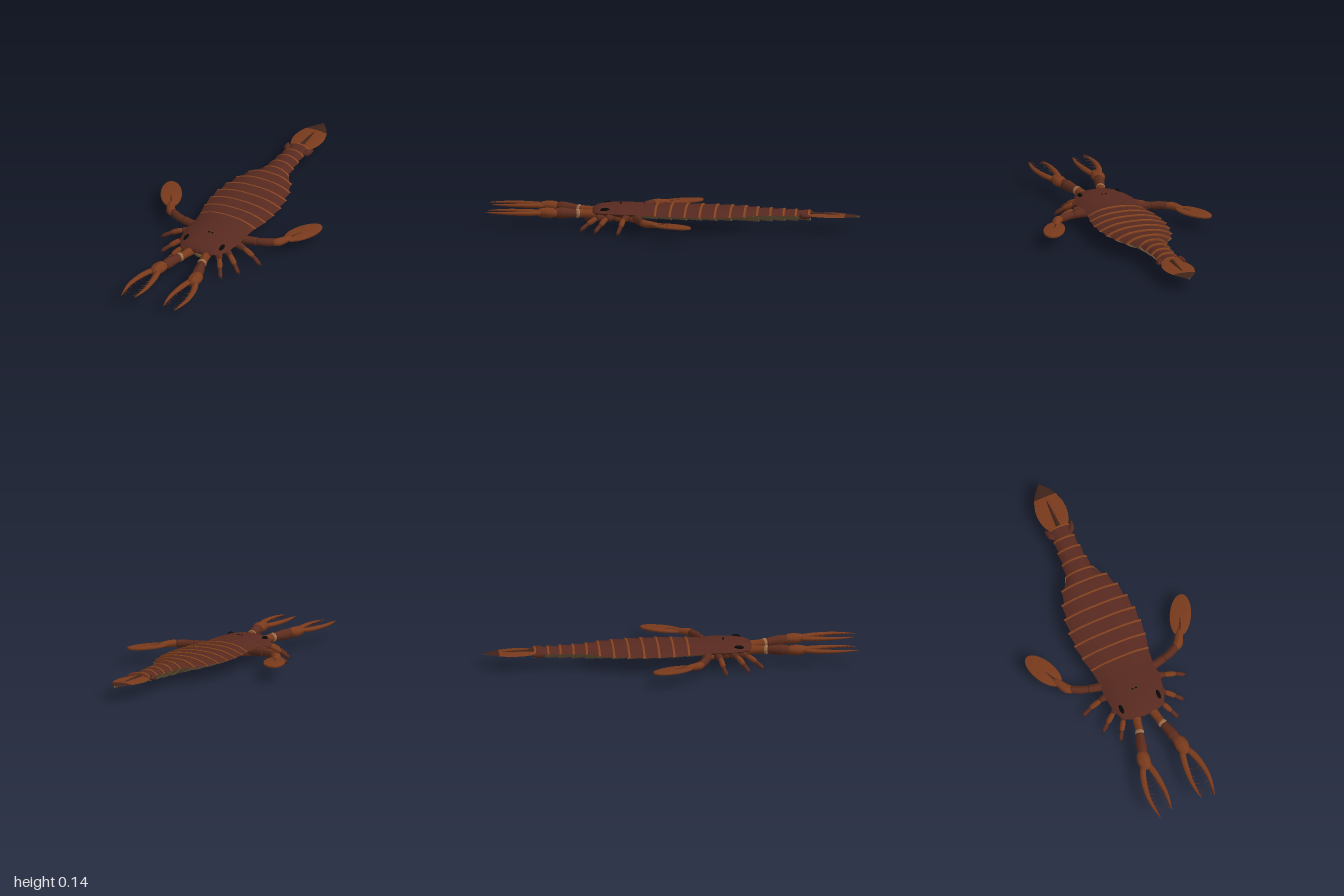
import * as THREE from 'three';
import { toCreasedNormals } from 'three/addons/utils/BufferGeometryUtils.js';

const mat = (name, color) => new THREE.MeshStandardMaterial({ name, color, side: THREE.DoubleSide });
const V = (x, y, z) => new THREE.Vector3(x, y, z);

export function createModel() {
  const model = new THREE.Group();
  model.name = 'seaScorpion';
  const shell = mat('darkShell', 0x57291f), rim = mat('rustRim', 0x85431f), belly = mat('paleBelly', 0x78603f);
  const limbDark = mat('limbBrown', 0x5c2c1d), limbRust = mat('limbRust', 0x793a1c);
  const black = mat('eyeBlack', 0x080808), dark = mat('darkTip', 0x3f231a), joint = mat('jointTan', 0x9a704c);

  const add = (parent, name, geometry, material) => {
    const mesh = new THREE.Mesh(geometry, material);
    mesh.name = name;
    parent.add(mesh);
    return mesh;
  };
  const group = (name) => {
    const g = new THREE.Group();
    g.name = name;
    model.add(g);
    return g;
  };

  // Arched plate lofted through sections [z, halfWidth, edgeY, height]; negative height arches down
  const dome = (parent, name, sections, material, power = 2.2) => {
    const n = 20, pos = [], index = [];
    sections.forEach(([z, w, y, h], j) => {
      for (let i = 0; i <= n; i++) {
        const u = -Math.cos((Math.PI * i) / n);
        pos.push(u * w, y + h * (1 - Math.abs(u) ** power), z);
        if (j && i < n) {
          const a = (j - 1) * (n + 1) + i, b = a + n + 1;
          if (h > 0 || sections[0][3] > 0) index.push(a, a + 1, b, a + 1, b + 1, b);
          else index.push(a, b, a + 1, a + 1, b, b + 1);
        }
      }
    });
    const g = new THREE.BufferGeometry();
    g.setAttribute('position', new THREE.Float32BufferAttribute(pos, 3));
    // keep faces pointing away from the body whichever way z runs
    const up = sections[1][0] > sections[0][0];
    if (up) for (let k = 0; k < index.length; k += 3) [index[k], index[k + 1]] = [index[k + 1], index[k]];
    g.setIndex(index);
    return add(parent, name, toCreasedNormals(g, 0.6), material);
  };

  // Tapering rounded limb along a curve, with radii spread evenly from start to end
  const limb = (parent, name, pts, radii, material, flat = 1) => {
    const n = 18, sides = 10, curve = new THREE.CatmullRomCurve3(pts);
    const g = new THREE.TubeGeometry(curve, n, 1, sides);
    const p = g.attributes.position;
    for (let i = 0; i <= n; i++) {
      const t = (i / n) * (radii.length - 1), k = Math.min(Math.floor(t), radii.length - 2);
      const r = i % n ? THREE.MathUtils.lerp(radii[k], radii[k + 1], t - k) : 0.0005;
      const c = curve.getPointAt(i / n);
      for (let s = 0; s <= sides; s++) {
        const v = i * (sides + 1) + s;
        const q = V().fromBufferAttribute(p, v).sub(c).multiplyScalar(r);
        p.setXYZ(v, c.x + q.x, c.y + q.y * flat, c.z + q.z);
      }
    }
    g.computeVertexNormals();
    return add(parent, name, g, material);
  };

  const spine = (parent, name, a, b, r, material) => {
    const d = b.clone().sub(a), m = add(parent, name, new THREE.ConeGeometry(r, d.length(), 6), material);
    m.position.copy(a).addScaledVector(d, 0.5);
    m.quaternion.setFromUnitVectors(V(0, 1, 0), d.normalize());
  };

  const ball = (parent, name, x, y, z, sx, sy, sz, material) => {
    const m = add(parent, name, new THREE.SphereGeometry(1, 20, 12), material);
    m.position.set(x, y, z);
    m.scale.set(sx, sy, sz);
    return m;
  };

  // Head shield with underside, eyes and mouth
  const head = group('head');
  const outline = [[0.16, 0.155], [0.25, 0.16], [0.33, 0.148], [0.38, 0.133], [0.41, 0.113], [0.424, 0.085], [0.431, 0.045]];
  const lift = [0.034, 0.036, 0.035, 0.03, 0.023, 0.015, 0.007];
  dome(head, 'carapace', [...outline.map(([z, w], i) => [z, w, 0.098, lift[i]]), [0.433, 0.01, 0.098, 0.001]], shell, 2.6);
  dome(head, 'carapaceUnderside', [...outline.map(([z, w], i) => [z, w * 0.985, 0.098, -lift[i] * 1.1]), [0.433, 0.01, 0.098, -0.001]], limbDark);
  ball(head, 'mouth', 0, 0.07, 0.37, 0.05, 0.03, 0.055, belly);
  ball(head, 'mouthPlate', 0, 0.053, 0.24, 0.045, 0.018, 0.065, belly);
  for (const s of [1, -1]) {
    ball(head, 'eye', s * 0.107, 0.113, 0.355, 0.011, 0.013, 0.027, black);
    ball(head, 'middleEye', s * 0.01, 0.134, 0.28, 0.005, 0.004, 0.005, black);
  }

  // Twelve body rings: [front z, rear z, front half width, rear half width]
  const rings = [
    [0.17, 0.08, 0.153, 0.167], [0.08, 0, 0.163, 0.186], [0, -0.08, 0.177, 0.195],
    [-0.08, -0.16, 0.182, 0.195], [-0.16, -0.24, 0.178, 0.185], [-0.24, -0.32, 0.166, 0.165],
    [-0.32, -0.395, 0.15, 0.133], [-0.395, -0.46, 0.122, 0.082], [-0.46, -0.53, 0.072, 0.073],
    [-0.53, -0.6, 0.062, 0.067], [-0.6, -0.665, 0.056, 0.061], [-0.665, -0.735, 0.052, 0.06],
  ];
  rings.forEach(([zf, zr, wf, wr], i) => {
    const ring = group('bodyRing' + (i + 1));
    const y = 0.093 - i * 0.0007, top = i < 7 ? 0.037 : 0.037 - (i - 6) * 0.0025;
    const low = -(i < 7 ? 0.036 : 0.043 - (i - 7) * 0.003);
    dome(ring, 'backPlate', [[zf + 0.012, wf, y, top * 0.84], [zr + 0.01, wr * 0.985, y, top], [zr + 0.01, wr * 0.5, y, 0.001]], shell, 2.6);
    dome(ring, 'backRim', [[zr + 0.011, wr * 0.985, y, top + 0.0015], [zr + 0.003, wr, y, top + 0.002], [zr, wr, y, top], [zr, wr * 0.5, y, 0.001]], rim, 2.6);
    dome(ring, 'bellyPlate', [[zf + 0.012, wf * 0.97, y, low * 0.8], [zr, wr * 0.98, y, low], [zr, wr * 0.5, y, -0.001]], belly, 2.6);
  });
  // Pointed lobes on the last ring
  for (const s of [1, -1]) {
    limb(model, 'tailLobe', [V(s * 0.046, 0.085, -0.68), V(s * 0.063, 0.085, -0.71), V(s * 0.076, 0.085, -0.745)], [0.008, 0.018, 0.013, 0.004], shell);
  }

  // Paddle-shaped tail with dark point and keel
  const tail = group('tail');
  const blade = [[-0.725, 0.045], [-0.75, 0.066], [-0.79, 0.079], [-0.83, 0.083], [-0.87, 0.079], [-0.92, 0.063]];
  const point = [[-0.92, 0.063], [-0.95, 0.046], [-0.98, 0.023], [-1, 0.002]];
  const bladeY = (z) => 0.083 + (z + 0.85) * 0.02;
  for (const [name, rows, top] of [['tailBlade', blade, limbRust], ['tailPoint', point, dark]]) {
    dome(tail, name, rows.map(([z, w]) => [z, w, bladeY(z), 0.006]), top);
    dome(tail, name + 'Underside', rows.map(([z, w]) => [z, w, bladeY(z), -0.006]), belly);
  }
  limb(tail, 'tailKeel', [V(0, 0.093, -0.72), V(0, 0.09, -0.8), V(0, 0.088, -0.9)], [0.013, 0.01, 0.007, 0.002], dark, 0.7);

  for (const s of [1, -1]) {
    const side = s > 0 ? 'left' : 'right', P = (x, y, z) => V(s * x, y, z);

    // Pincer arm: base, joint ring, forearm, palm and toothed fingers
    const arm = group(side + 'PincerArm');
    limb(arm, 'armBase', [P(0.04, 0.08, 0.39), P(0.054, 0.084, 0.45), P(0.066, 0.087, 0.51)], [0.026, 0.024, 0.022, 0.024], limbRust);
    limb(arm, 'armJoint', [P(0.063, 0.087, 0.494), P(0.066, 0.087, 0.505), P(0.069, 0.087, 0.518)], [0.022, 0.026, 0.022], joint);
    limb(arm, 'forearm', [P(0.067, 0.087, 0.51), P(0.083, 0.09, 0.56), P(0.1, 0.093, 0.63)], [0.022, 0.026, 0.03, 0.024], limbDark);
    limb(arm, 'palm', [P(0.1, 0.093, 0.61), P(0.11, 0.095, 0.66), P(0.113, 0.096, 0.72)], [0.022, 0.035, 0.038, 0.033, 0.025], limbRust, 0.75);
    const fingers = [
      ['outerFinger', [P(0.128, 0.096, 0.69), P(0.157, 0.097, 0.77), P(0.172, 0.099, 0.87), P(0.166, 0.1, 0.95), P(0.158, 0.1, 1)], -1],
      ['innerFinger', [P(0.098, 0.096, 0.69), P(0.083, 0.097, 0.77), P(0.075, 0.099, 0.87), P(0.08, 0.1, 0.94), P(0.088, 0.1, 0.985)], 1],
    ];
    for (const [name, pts, inward] of fingers) {
      limb(arm, name, pts, [0.016, 0.017, 0.015, 0.012, 0.008, 0.001], limbRust, 0.75);
      const curve = new THREE.CatmullRomCurve3(pts);
      for (let i = 0; i < 9; i++) {
        const a = curve.getPointAt(0.3 + i * 0.075), len = i % 2 ? 0.038 : 0.026;
        spine(arm, 'tooth', a, a.clone().add(P(inward * len, 0, 0.014)), 0.0045, limbDark);
      }
    }

    // Three walking legs: [hip, knee, ankle, foot]
    const legs = [
      [P(0.11, 0.08, 0.235), P(0.185, 0.075, 0.252), P(0.245, 0.048, 0.262), P(0.292, 0.018, 0.275)],
      [P(0.1, 0.078, 0.31), P(0.15, 0.075, 0.345), P(0.195, 0.045, 0.375), P(0.23, 0.016, 0.4)],
      [P(0.085, 0.075, 0.35), P(0.115, 0.07, 0.4), P(0.143, 0.043, 0.445), P(0.165, 0.014, 0.48)],
    ];
    legs.forEach((pts, i) => {
      const leg = group(side + 'Leg' + (i + 1));
      const inner = P(0.035, 0.058, 0.23 + i * 0.045);
      limb(leg, 'coxa', [inner, inner.clone().lerp(pts[0], 0.5), pts[0]], [0.012, 0.022, 0.022, 0.016], limbRust);
      for (let k = 0; k < 3; k++) {
        const a = pts[k], b = pts[k + 1], r = 0.019 - k * 0.004;
        limb(leg, ['thigh', 'shin', 'foot'][k], [a, a.clone().lerp(b, 0.5), b.clone().lerp(a, -0.06)], [r * 0.8, r, r, r * 0.75], k % 2 ? limbRust : limbDark);
        if (!k) continue;
        for (const t of [-1, 1]) {
          spine(leg, 'legSpine', b, b.clone().add(P(0.014, k > 1 ? -0.012 : -0.02, t * 0.012)), 0.0035, dark);
        }
      }
    });

    // Swimming limb ending in an oval paddle
    const swim = group(side + 'SwimmingLimb');
    limb(swim, 'swimCoxa', [P(0.04, 0.062, 0.21), P(0.08, 0.066, 0.2), P(0.13, 0.072, 0.185)], [0.02, 0.034, 0.034, 0.024], limbRust, 0.7);
    limb(swim, 'swimUpperArm', [P(0.11, 0.078, 0.185), P(0.17, 0.079, 0.18), P(0.225, 0.08, 0.168)], [0.024, 0.024, 0.022, 0.022], limbDark);
    limb(swim, 'swimForearm', [P(0.215, 0.08, 0.17), P(0.26, 0.08, 0.157), P(0.31, 0.08, 0.13)], [0.019, 0.021, 0.022, 0.021], limbDark);
    limb(swim, 'swimWrist', [P(0.295, 0.08, 0.143), P(0.325, 0.08, 0.12), P(0.35, 0.08, 0.075), P(0.365, 0.08, 0.045)], [0.02, 0.026, 0.024, 0.02, 0.012], limbRust, 0.8);
    const oval = new THREE.Shape();
    oval.absellipse(s * 0.398, -0.02, 0.115, 0.053, 0, Math.PI * 2, false, s > 0 ? -1.1 : Math.PI + 1.1);
    const geometry = new THREE.ExtrudeGeometry(oval, { depth: 0.004, bevelThickness: 0.004, bevelSize: 0.004, bevelSegments: 2, curveSegments: 32 });
    geometry.rotateX(Math.PI / 2).translate(0, 0.082, 0);
    add(swim, 'paddle', toCreasedNormals(geometry, 0.7), limbRust);
    limb(swim, 'paddleCrease', [P(0.355, 0.085, 0.065), P(0.375, 0.085, 0.025), P(0.392, 0.085, -0.01)], [0.005, 0.004, 0.002], dark, 0.6);
  }
  return model;
}
